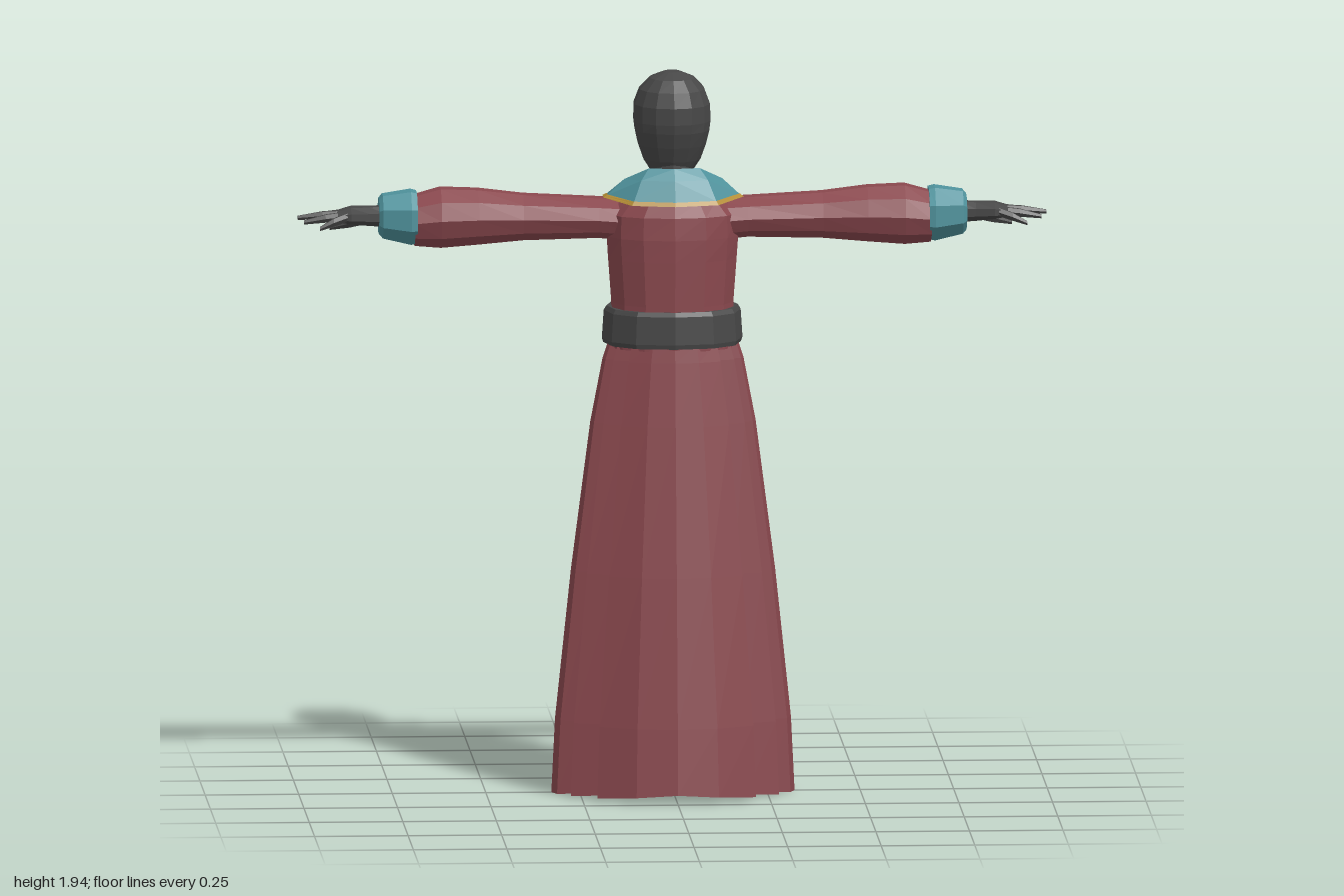
import * as THREE from 'three';

const mat = (name, color, side = THREE.FrontSide) => {
  const m = new THREE.MeshStandardMaterial({ color, side });
  m.name = name;
  return m;
};

export function createModel() {
  const model = new THREE.Group();
  model.name = 'robedFigure';
  const red = mat('robe red', 0x8a484e, THREE.DoubleSide);
  const teal = mat('collar teal', 0x4f929c, THREE.DoubleSide);
  const gold = mat('trim gold', 0xb38d36, THREE.DoubleSide);
  const dark = mat('charcoal', 0x484848, THREE.DoubleSide);

  const add = (name, geo, material) => {
    const flat = geo.index ? geo.toNonIndexed() : geo;
    flat.computeVertexNormals();
    const mesh = new THREE.Mesh(flat, material);
    mesh.name = name;
    model.add(mesh);
    return mesh;
  };

  // Faceted skin through a list of rings; optionally closed around and capped
  function loft(rings, { closed = true, caps = true } = {}) {
    const pos = [];
    const tri = (...pts) => pts.forEach((p) => pos.push(...p));
    const n = rings[0].length;
    for (let i = 0; i < rings.length - 1; i++) {
      for (let j = 0; j < (closed ? n : n - 1); j++) {
        const k = (j + 1) % n;
        const [a, b, c, d] = [rings[i][j], rings[i][k], rings[i + 1][k], rings[i + 1][j]];
        tri(a, b, c);
        tri(a, c, d);
      }
    }
    if (closed && caps) {
      [rings[0], rings[rings.length - 1]].forEach((r, e) => {
        const mid = [0, 1, 2].map((q) => r.reduce((s, p) => s + p[q], 0) / n);
        r.forEach((p, j) => (e ? tri(mid, p, r[(j + 1) % n]) : tri(mid, r[(j + 1) % n], p)));
      });
    }
    const g = new THREE.BufferGeometry();
    g.setAttribute('position', new THREE.Float32BufferAttribute(pos, 3));
    return g;
  }
  const mirror = (rings) => rings.map((r) => r.map(([x, y, z]) => [-x, y, z]).reverse());
  const both = (name, rings, material) => {
    add('left' + name, loft(rings), material);
    add('right' + name, loft(mirror(rings)), material);
  };
  const soft = (v, p) => Math.sign(v) * Math.abs(v) ** p;

  // Upright ring: height, half width, front z, back z, squareness
  const upright = (n, p = 1) => ([y, rx, zf, zb]) =>
    Array.from({ length: n }, (_, i) => {
      const a = (i / n) * Math.PI * 2;
      return [rx * soft(Math.sin(a), p), y, (zf + zb) / 2 + ((zb - zf) / 2) * soft(Math.cos(a), p)];
    });
  // Sideways ring: x, centre y, centre z, half height, half depth
  const sideways = (n) => ([x, y, z, ry, rz]) =>
    Array.from({ length: n }, (_, i) => {
      const a = ((i + 0.5) / n) * Math.PI * 2;
      return [x, y + ry * Math.cos(a), z + rz * Math.sin(a)];
    });

  // Head with brow, eye hollow and chin; the face points to -z
  add('head', loft([
    [1.655, 0.04, -0.125, -0.005], [1.675, 0.062, -0.155, 0.015], [1.7, 0.078, -0.168, 0.03],
    [1.74, 0.092, -0.172, 0.048], [1.78, 0.101, -0.165, 0.062], [1.805, 0.104, -0.176, 0.067],
    [1.85, 0.103, -0.176, 0.068], [1.89, 0.088, -0.158, 0.056], [1.92, 0.06, -0.125, 0.028],
    [1.936, 0.022, -0.075, -0.02],
  ].map(upright(14, 0.92))), dark);
  add('neck', loft([[1.58, 0.062, -0.105, 0.03], [1.7, 0.055, -0.1, 0.025]].map(upright(10))), dark);
  add('nose', loft([
    [1.733, 0.018, -0.192, -0.15], [1.75, 0.016, -0.188, -0.15], [1.8, 0.008, -0.177, -0.15],
  ].map(upright(6))), dark);
  add('mouth', new THREE.BoxGeometry(0.05, 0.01, 0.012).translate(0, 1.706, -0.167), dark);

  // Neck band with a small pendant
  add('neckBand', loft([[1.615, 0.073, -0.12, 0.04], [1.65, 0.066, -0.112, 0.035]].map(upright(12))), gold);
  add('pendant', new THREE.OctahedronGeometry(0.014).scale(1, 1.3, 0.6).translate(0, 1.59, -0.148), gold);

  // Robe bodice
  add('bodice', loft([
    [1.2, 0.172, -0.175, 0.105], [1.32, 0.165, -0.18, 0.108], [1.44, 0.174, -0.18, 0.11],
    [1.5, 0.178, -0.168, 0.11], [1.56, 0.176, -0.145, 0.105], [1.6, 0.14, -0.122, 0.09],
    [1.635, 0.07, -0.1, 0.05],
  ].map(upright(14, 0.9))), red);

  // Pleated skirt: half hem outline from back centre to front centre
  const half = [
    [0, 0.25], [0.11, 0.232], [0.212, 0.178], [0.188, 0.135], [0.278, 0.1], [0.25, 0.065],
    [0.312, 0.04], [0.325, 0], [0.312, -0.045], [0.275, -0.06], [0.29, -0.125],
    [0.235, -0.125], [0.25, -0.165], [0.195, -0.16], [0.212, -0.2], [0.12, -0.235], [0, -0.25],
  ];
  const hem = [...half, ...half.slice(1, -1).reverse().map(([x, z]) => [-x, z])];
  const skirt = [
    [0.025, 1, 1, 1], [0.2, 0.97, 0.93, 0.98], [0.6, 0.84, 0.74, 0.94],
    [1.0, 0.68, 0.53, 0.82], [1.17, 0.58, 0.44, 0.74], [1.22, 0.53, 0.41, 0.69],
  ].map(([y, sx, sb, sf], i) => hem.map(([x, z]) => [
    x * sx, i ? y : y - 0.025 * Math.abs(x) / 0.325, z * (z > 0 ? sb : sf),
  ]));
  add('skirt', loft(skirt, { caps: false }), red);

  // Belt
  add('belt', loft([
    [1.208, 0.184, -0.188, 0.114], [1.22, 0.188, -0.192, 0.117],
    [1.295, 0.183, -0.19, 0.115], [1.307, 0.176, -0.184, 0.11],
  ].map(upright(12, 0.85))), dark);

  // Belt studs and hanging sashes
  for (const s of [1, -1]) {
    add('beltStud', new THREE.OctahedronGeometry(0.026).scale(1, 1, 0.7).translate(s * 0.08, 1.262, -0.19), gold);
    const sash = [[0.935, 0.032, -0.224], [1.08, 0.027, -0.209], [1.22, 0.02, -0.183]].map(([y, w, z]) =>
      [[-w, 0.01], [w, 0.01], [w, -0.01], [-w, -0.01]].map(([x, d]) => [s * 0.083 + x, y, z + d]));
    add('sash', loft(sash), dark);
  }

  // Sleeves and cuffs
  both('Sleeve', [
    [0.1, 1.54, -0.03, 0.058, 0.08], [0.2, 1.547, -0.028, 0.056, 0.075], [0.4, 1.55, -0.028, 0.064, 0.074],
    [0.52, 1.552, -0.028, 0.077, 0.082], [0.62, 1.55, -0.028, 0.083, 0.086], [0.69, 1.543, -0.028, 0.07, 0.078],
  ].map(sideways(10)), red);
  both('Cuff', [
    [0.684, 1.552, -0.026, 0.073, 0.083], [0.7, 1.552, -0.026, 0.077, 0.086],
    [0.775, 1.555, -0.026, 0.062, 0.068], [0.785, 1.555, -0.026, 0.05, 0.056],
  ].map(sideways(8)), teal);

  // Hands
  both('Palm', [
    [0.77, 1.555, -0.026, 0.03, 0.035], [0.81, 1.555, -0.028, 0.027, 0.042],
    [0.86, 1.557, -0.03, 0.024, 0.055], [0.895, 1.555, -0.03, 0.015, 0.048],
  ].map(sideways(8)), dark);
  const fingers = [[-0.068, -0.078, 0.975], [-0.041, -0.045, 1.0], [-0.016, -0.012, 0.985], [0.008, 0.028, 0.945]];
  fingers.forEach(([z0, z1, tip], i) => {
    const drop = [0.012, 0.004, 0.012, 0.024][i];
    both('Finger', [
      [0.87, 1.557, z0, 0.013, 0.013], [(0.87 + tip) / 2, 1.557 - drop / 2, (z0 + z1) / 2, 0.012, 0.012],
      [tip, 1.553 - drop, z1, 0.006, 0.006],
    ].map(sideways(6)), dark);
  });
  both('Thumb', [
    [0.81, 1.545, -0.055, 0.016, 0.016], [0.86, 1.528, -0.086, 0.014, 0.014], [0.912, 1.512, -0.103, 0.006, 0.007],
  ].map(sideways(6)), dark);

  // Undershirt showing in the neck opening
  add('undershirt', loft([
    [[-0.08, 1.635, -0.085], [0, 1.632, -0.118], [0.08, 1.635, -0.085]],
    [[-0.06, 1.57, -0.145], [0, 1.57, -0.154], [0.06, 1.57, -0.145]],
    [[-0.01, 1.44, -0.186], [0, 1.44, -0.186], [0.01, 1.44, -0.186]],
  ], { closed: false }), dark);

  // Shawl collar: inner and outer edge from the nape, over a shoulder, across the chest
  const edge = [
    [[0, 1.69, 0.075], [0, 1.605, 0.122]],
    [[0.068, 1.69, 0.06], [0.11, 1.607, 0.108]],
    [[0.085, 1.672, 0], [0.176, 1.615, 0.03]],
    [[0.082, 1.64, -0.075], [0.172, 1.602, -0.085]],
    [[0.05, 1.555, -0.158], [0.13, 1.5, -0.152]],
    [[0, 1.455, -0.19], [0.065, 1.395, -0.184]],
    [[-0.075, 1.375, -0.182], [0, 1.31, -0.191]],
  ];
  for (const s of [1, -1]) {
    const out = s < 0 ? 0.008 : 0; // the right band lies over the left one
    const put = ([x, y, z]) => [s * x, y, z < -0.1 ? z - out : z];
    const lerp = (a, b, t) => a.map((v, q) => v + (b[q] - v) * t);
    const side = s > 0 ? 'left' : 'right';
    const strip = (from, to, lift) => loft(edge.map(([a, b]) => [from, (from + to) / 2, to].map((t) => {
      const p = lerp(a, b, t);
      p[1] += lift + 0.012 * Math.sin(Math.PI * Math.min(t, 1));
      return put(p);
    })), { closed: false });
    add(side + 'Collar', strip(0, 1, 0), teal);
    add(side + 'CollarTrim', strip(1, 1.13, 0.001), gold);
  }

  // Legs and boots under the hem
  for (const s of [1, -1]) {
    add('leg', new THREE.CylinderGeometry(0.06, 0.042, 0.9, 8).translate(s * 0.08, 0.52, 0), dark);
    add('boot', new THREE.SphereGeometry(1, 10, 6).scale(0.047, 0.05, 0.11).translate(s * 0.085, 0.07, -0.06), dark);
  }
  return model;
}
